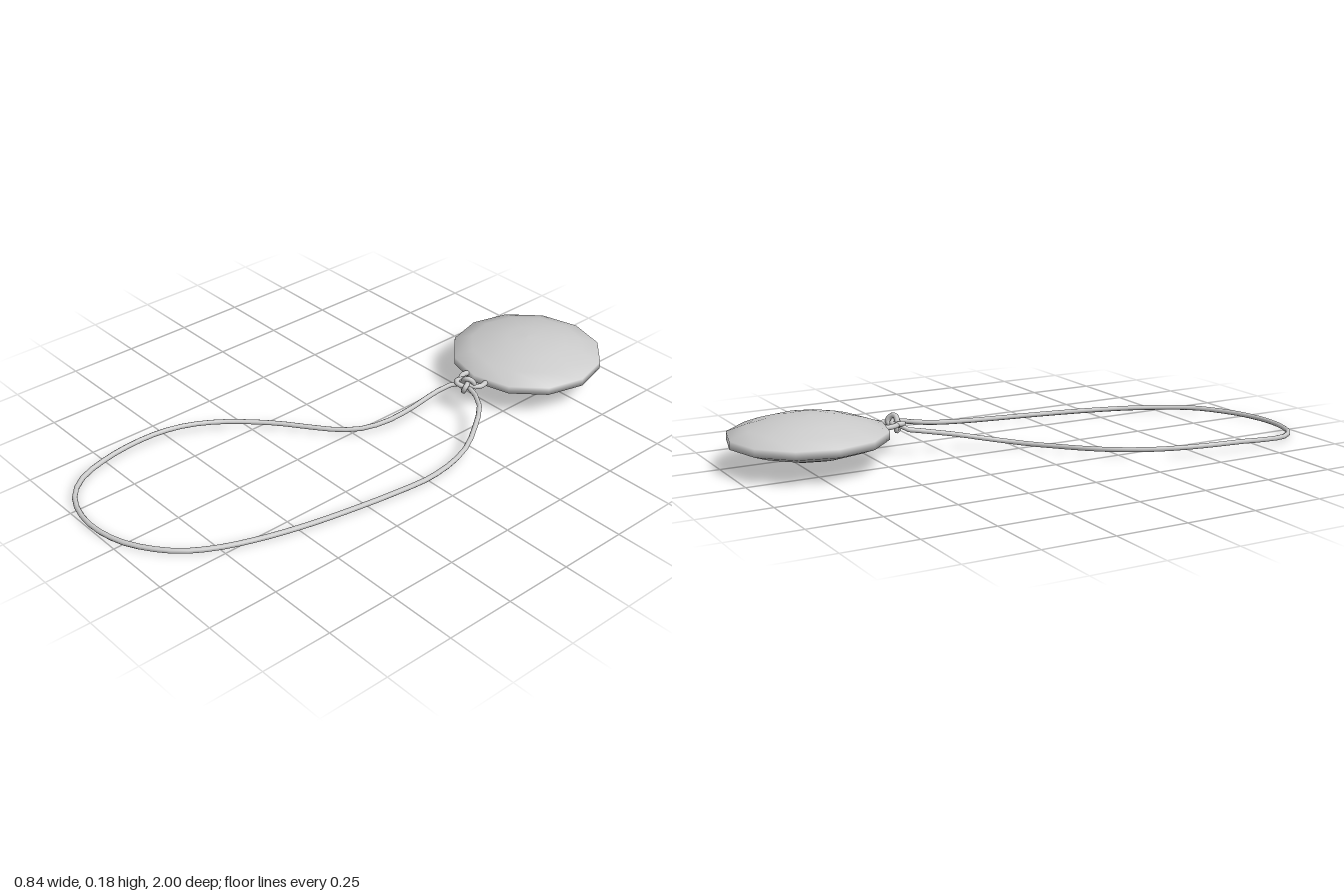
import * as THREE from 'three';

const V = (p) => new THREE.Vector3(...p);

export function createModel() {
  const group = new THREE.Group();
  const material = new THREE.MeshStandardMaterial({ color: 0xcccccc });

  const add = (name, geometry) => {
    const mesh = new THREE.Mesh(geometry, material);
    mesh.name = name;
    group.add(mesh);
    return mesh;
  };
  const rope = (name, points, segments, radius, closed = false) =>
    add(name, new THREE.TubeGeometry(
      new THREE.CatmullRomCurve3(points, closed), segments, radius, 8, closed));

  // Lens-shaped pendant: twelve sides with a narrow upright rim
  const half = [[0.273, 0.014], [0.207, 0.038], [0.14, 0.057], [0.072, 0.069], [0, 0.0715]];
  const profile = [
    ...half.slice().reverse().map(([r, y]) => new THREE.Vector2(r, -y)),
    ...half.map(([r, y]) => new THREE.Vector2(r, y)),
  ];
  add('pendant', new THREE.LatheGeometry(profile, 12)).position.set(0.143, 0.107, -0.727);

  // Long cord loop, leaving the knot on one side and returning on the other
  rope('cordLoop', [
    [0.14, 0.108, -0.405], [0.106, 0.095, -0.385], [0.09, 0.083, -0.32],
    [0.083, 0.058, -0.2], [0.065, 0.038, -0.11], [0.03, 0.024, -0.03],
    [-0.02, 0.018, 0.03], [-0.09, 0.018, 0.09], [-0.19, 0.021, 0.17],
    [-0.26, 0.024, 0.24], [-0.33, 0.029, 0.33], [-0.38, 0.034, 0.43],
    [-0.405, 0.036, 0.53], [-0.411, 0.034, 0.65], [-0.404, 0.026, 0.76],
    [-0.375, 0.017, 0.87], [-0.31, 0.012, 0.945], [-0.22, 0.01, 0.982],
    [-0.12, 0.01, 0.991], [-0.01, 0.011, 0.97], [0.08, 0.013, 0.925],
    [0.16, 0.015, 0.86], [0.22, 0.015, 0.77], [0.275, 0.016, 0.64],
    [0.32, 0.016, 0.48], [0.355, 0.016, 0.3], [0.38, 0.016, 0.13],
    [0.393, 0.018, 0], [0.385, 0.028, -0.12], [0.365, 0.042, -0.2],
    [0.31, 0.07, -0.3], [0.265, 0.085, -0.36], [0.21, 0.097, -0.392],
    [0.165, 0.102, -0.405],
  ].map(V), 66, 0.009);

  // Short bail joining the knot to the pendant
  rope('bail', [
    [0.135, 0.108, -0.4], [0.11, 0.11, -0.42], [0.099, 0.11, -0.445],
    [0.108, 0.107, -0.48], [0.143, 0.107, -0.5], [0.18, 0.107, -0.48],
    [0.194, 0.106, -0.445], [0.184, 0.106, -0.42], [0.155, 0.108, -0.4],
  ].map(V), 24, 0.0095);

  // Knot: a trefoil strand tilted toward the front
  const strand = [];
  for (let i = 0; i < 24; i++) {
    const t = (i / 24) * Math.PI * 2;
    strand.push(new THREE.Vector3(
      0.0115 * (Math.sin(t) + 2 * Math.sin(2 * t)),
      0.0085 * (Math.cos(t) - 2 * Math.cos(2 * t)),
      -0.015 * Math.sin(3 * t)));
  }
  const knot = rope('knot', strand, 60, 0.0095, true);
  knot.position.set(0.15, 0.109, -0.402);
  knot.rotation.set(-0.6, 0, 0.3);

  return group;
}
